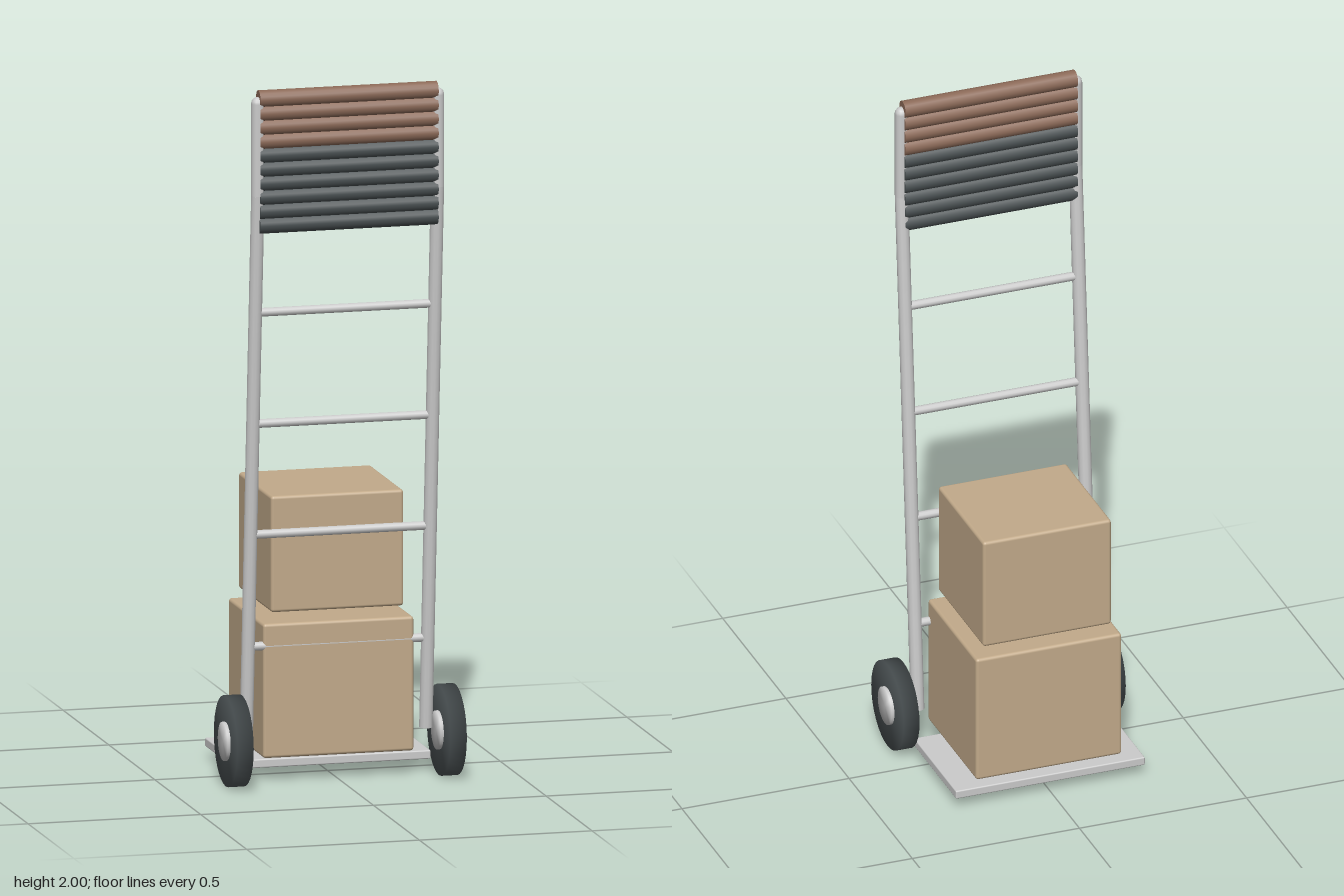
import * as THREE from 'three';
import { mergeVertices } from 'three/addons/utils/BufferGeometryUtils.js';
import { RoundedBoxGeometry } from 'three/addons/geometries/RoundedBoxGeometry.js';

const paint = (color) => new THREE.MeshStandardMaterial({ color });

function add(parent, name, geometry, material, x = 0, y = 0, z = 0) {
  const mesh = new THREE.Mesh(geometry, material);
  mesh.name = name;
  mesh.position.set(x, y, z);
  parent.add(mesh);
  return mesh;
}

// Round bar running from point a to point b
function bar(parent, name, a, b, radius, material, sides = 12) {
  const dir = b.clone().sub(a);
  const mesh = add(parent, name, new THREE.CylinderGeometry(radius, radius, dir.length(), sides), material);
  mesh.position.copy(a).add(b).multiplyScalar(0.5);
  mesh.quaternion.setFromUnitVectors(new THREE.Vector3(0, 1, 0), dir.normalize());
  return mesh;
}

// Disc lying along x, with normals blended over the rim
function softDisc(radius, width) {
  const g = new THREE.CylinderGeometry(radius, radius, width, 32).rotateZ(Math.PI / 2);
  g.deleteAttribute('normal');
  g.deleteAttribute('uv');
  const merged = mergeVertices(g);
  merged.computeVertexNormals();
  return merged;
}

export function createModel() {
  const model = new THREE.Group();
  model.name = 'handTruck';
  const metal = paint(0xcccccc);
  const rubber = paint(0x4c5355);
  const brown = paint(0x8c6a58);
  const slate = paint(0x4a5153);
  const card = paint(0xc2aa8a);
  const V = (x, y, z) => new THREE.Vector3(x, y, z);

  // Rail centre line: leaning below the bend, upright above it
  const bendY = 1.7, footY = 0.13, topY = 1.962, topZ = 0.219;
  const railZ = (y) => Math.min(topZ, 0.093 + (y - footY) * (topZ - 0.093) / (bendY - footY));

  for (const side of [-1, 1]) {
    const prefix = side > 0 ? 'left' : 'right';
    const x = side * 0.26;

    // Side rail
    const rail = new THREE.Group();
    rail.name = prefix + 'Rail';
    model.add(rail);
    const bend = V(x, bendY, topZ);
    bar(rail, 'lowerRail', V(x, footY, railZ(footY)), bend, 0.0195, metal);
    bar(rail, 'upperRail', bend, V(x, topY, topZ), 0.0195, metal);
    for (const y of [bendY, topY])
      add(rail, 'railJoint', new THREE.SphereGeometry(0.0195, 12, 8), metal, x, y, topZ);

    // Wheel
    const wheel = new THREE.Group();
    wheel.name = prefix + 'Wheel';
    wheel.position.set(side * 0.3085, 0.129, 0.14);
    model.add(wheel);
    add(wheel, 'tyre', softDisc(0.129, 0.047), rubber);
    add(wheel, 'hub', softDisc(0.055, 0.064), metal);
  }

  // Cross rungs
  for (const y of [0.39, 0.715, 1.037, 1.36])
    bar(model, 'rung', V(-0.25, y, railZ(y)), V(0.25, y, railZ(y)), 0.0125, metal);

  // Stacked round slats of the back panel: four brown over six dark
  for (let i = 0; i < 10; i++) {
    const y = 1.975 - i * 0.04;
    bar(model, i < 4 ? 'brownSlat' : 'darkSlat', V(-0.258, y, 0.217), V(0.258, y, 0.217),
      0.025, i < 4 ? brown : slate, 16);
  }

  // Toe plate
  add(model, 'toePlate', new RoundedBoxGeometry(0.566, 0.025, 0.334, 2, 0.004), metal, 0, 0.043, -0.105);

  // Cardboard boxes
  add(model, 'lowerBox', new RoundedBoxGeometry(0.436, 0.384, 0.384, 3, 0.009), card, -0.001, 0.262, -0.066);
  add(model, 'upperBox', new RoundedBoxGeometry(0.384, 0.332, 0.358, 3, 0.009), card, -0.001, 0.649, -0.066);

  return model;
}
